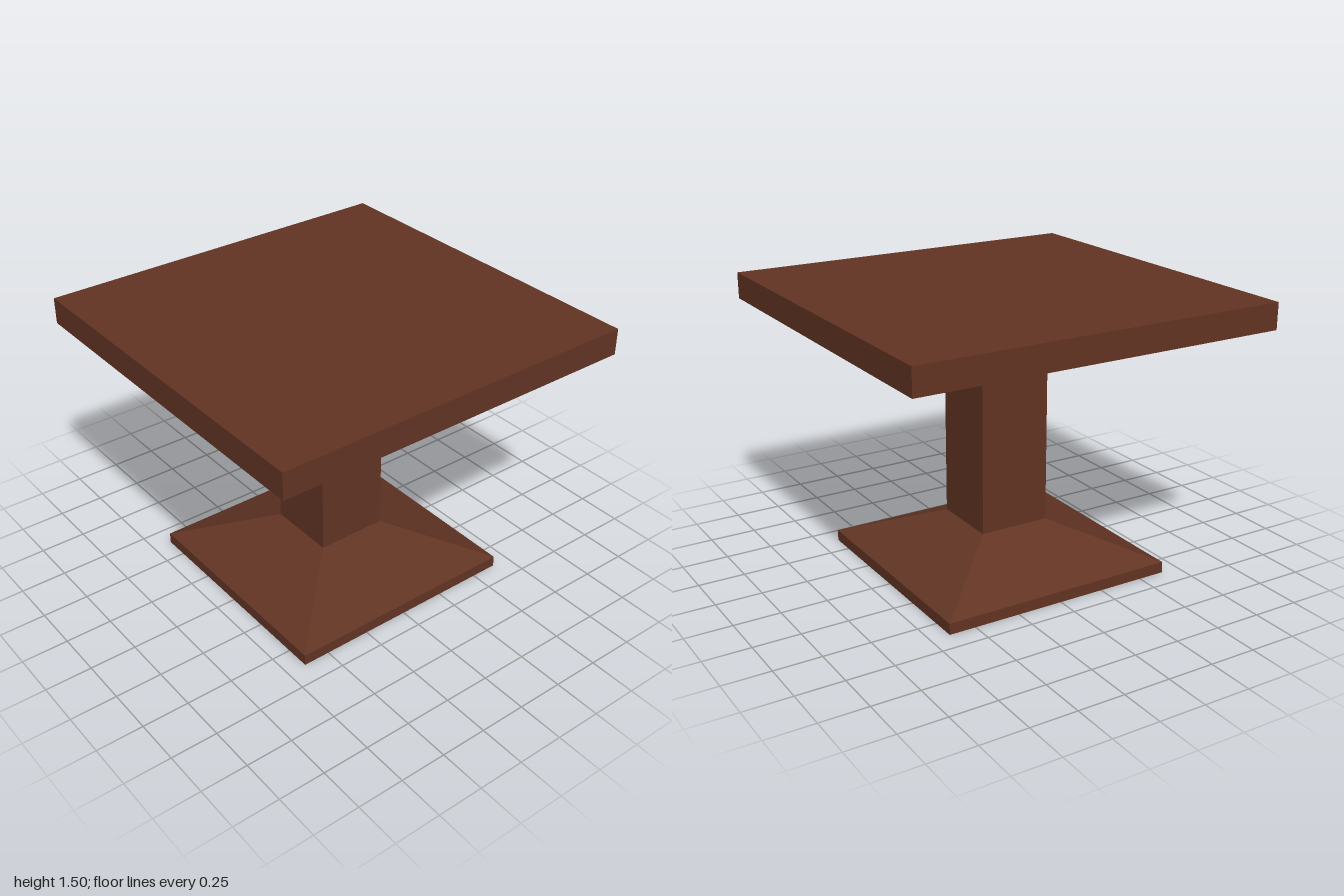
import * as THREE from 'three';

const WOOD = new THREE.MeshStandardMaterial({ color: 0x623423, flatShading: true });
const HALF_X = 0.98; // half width of the top; depth is 1

// Four-sided section; half-depths at the bottom and the top
function section(name, y0, y1, half0, half1, open = false) {
  const g = new THREE.CylinderGeometry(half1 * Math.SQRT2, half0 * Math.SQRT2, y1 - y0, 4, 1, open);
  g.rotateY(Math.PI / 4);
  g.scale(HALF_X, 1, 1);
  g.translate(0, (y0 + y1) / 2, 0);
  const mesh = new THREE.Mesh(g, WOOD);
  mesh.name = name;
  return mesh;
}

// Cracked slab: shared [x, z] points of the fracture network
const X = HALF_X;
const P = {
  a: [-0.17, -0.84], b: [-0.36, -0.04], c: [-0.33, 0.05], d: [-0.69, 0.57], e: [0.55, 0.1],
  f: [0.72, 0.16], g: [0.1, -0.78], h: [-0.88, -0.95], i: [-0.9, -0.9], j: [0.35, -0.37],
  k: [-0.8, -1], l: [-0.3, -1], m: [0.3, -1], n: [X, -0.35], o: [X, 0.15], p: [0.5, 1],
  q: [0.2, 1], r: [-X, 0.75], s: [-X, -0.82], t: [-0.88, -1],
  A: [-X, -1], B: [X, -1], C: [X, 1], D: [-X, 1],
};
// Points whose crack slants through the thickness: position on the lower face
const LOWER = { q: [-0.18, 1], p: [0.58, 1], n: [X, -0.12], o: [X, 0.1] };
// Each piece is a loop of point letters
const PIECES = ['klabih', 'Athis', 'sibcdr', 'rdqD', 'dcefpq', 'foCp', 'lmga', 'agmBnjecb', 'jnofe', 'tkh'];

function slabPiece(keys) {
  const shape = new THREE.Shape([...keys].map((k) => new THREE.Vector2(P[k][0], -P[k][1])));
  const g = new THREE.ExtrudeGeometry(shape, { depth: 0.14, bevelEnabled: false });
  g.rotateX(-Math.PI / 2);
  const pos = g.attributes.position;
  for (let v = 0; v < pos.count; v++) {
    if (pos.getY(v) > 0.07) continue;
    for (const k in LOWER) {
      if (Math.hypot(pos.getX(v) - P[k][0], pos.getZ(v) - P[k][1]) < 1e-4) {
        pos.setXYZ(v, LOWER[k][0], 0, LOWER[k][1]);
        break;
      }
    }
  }
  g.computeVertexNormals();
  g.translate(0, 1.36, 0);
  return new THREE.Mesh(g, WOOD);
}

export function createModel() {
  const table = new THREE.Group();
  table.name = 'crackedTable';

  // Foot and column
  table.add(section('footSlab', 0, 0.06, 0.645, 0.645));
  table.add(section('footSlope', 0.06, 0.25, 0.645, 0.194, true));
  table.add(section('column', 0.25, 1.21, 0.194, 0.194, true));

  // Flared underside and broken top
  table.add(section('topFlare', 1.21, 1.36, 0.194, 1, true));
  const top = new THREE.Group();
  top.name = 'tableTop';
  PIECES.forEach((keys, n) => {
    const piece = slabPiece(keys);
    piece.name = `topPiece${n + 1}`;
    top.add(piece);
  });
  table.add(top);
  return table;
}
